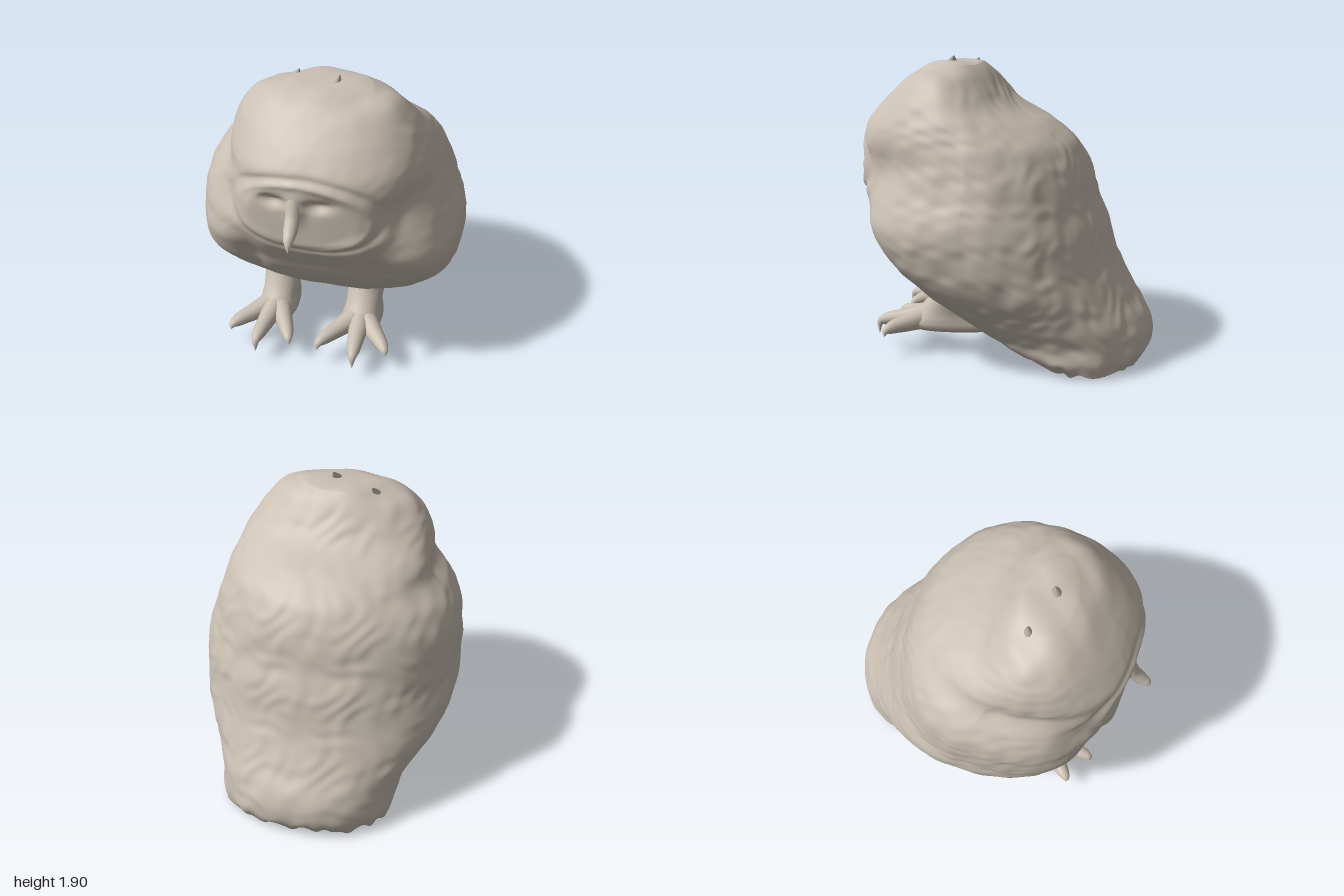
import * as THREE from 'three';

const plumage = new THREE.MeshStandardMaterial({ color: 0xc9bfb2 });
plumage.name = 'pale plumage';

// Body sections from tail to crown: y, back z, front z, right x, left x, widest z, front squareness
const SECTIONS = [
  [0.03, -0.94, -0.45, -0.53, 0.55, -0.62, 2.6],
  [0.1, -0.985, -0.17, -0.56, 0.58, -0.55, 2.6],
  [0.2, -0.99, 0.07, -0.58, 0.59, -0.46, 2.6],
  [0.3, -0.95, 0.23, -0.63, 0.64, -0.36, 2.6],
  [0.4, -0.88, 0.37, -0.71, 0.69, -0.26, 2.7],
  [0.5, -0.82, 0.48, -0.78, 0.75, -0.16, 2.8],
  [0.6, -0.765, 0.57, -0.82, 0.79, -0.08, 3],
  [0.7, -0.725, 0.64, -0.83, 0.81, -0.02, 3.2],
  [0.8, -0.7, 0.69, -0.82, 0.82, 0.03, 3.2],
  [0.9, -0.665, 0.755, -0.82, 0.82, 0.05, 2.9],
  [1.0, -0.62, 0.82, -0.82, 0.8, 0.05, 2.5],
  [1.1, -0.59, 0.87, -0.81, 0.76, 0.04, 2.4],
  [1.2, -0.56, 0.875, -0.78, 0.73, 0.04, 2.4],
  [1.3, -0.515, 0.875, -0.72, 0.7, 0.06, 2.4],
  [1.4, -0.44, 0.87, -0.62, 0.67, 0.1, 2.5],
  [1.5, -0.3, 0.85, -0.595, 0.63, 0.17, 2.4],
  [1.6, -0.1, 0.78, -0.565, 0.58, 0.24, 2.2],
  [1.7, 0.0, 0.68, -0.51, 0.51, 0.28, 2.2],
  [1.8, 0.08, 0.56, -0.4, 0.42, 0.31, 2.2],
  [1.86, 0.14, 0.45, -0.22, 0.27, 0.31, 2],
];

const catmull = (a, b, c, d, t) =>
  0.5 * (2 * b + (c - a) * t + (2 * a - 5 * b + 4 * c - d) * t * t + (3 * b - a - 3 * c + d) * t * t * t);

function sectionAt(u) {
  const last = SECTIONS.length - 1;
  const i = Math.min(Math.floor(u * last), last - 1);
  const at = (k) => SECTIONS[Math.max(0, Math.min(last, k))];
  return SECTIONS[0].map((_, c) => catmull(at(i - 1)[c], at(i)[c], at(i + 1)[c], at(i + 2)[c], u * last - i));
}

const { smoothstep, lerp } = THREE.MathUtils;
const bell = (d, w) => Math.exp(-(d * d) / (w * w));
const spot = (x, y, cx, cy, wx, wy) => bell(x - cx, wx) * bell(y - cy, wy);

// Joins closed rings, listed from bottom to top, into a smooth skin
function skin(rings) {
  const n = rings[0].length, pos = [], index = [];
  rings.forEach((ring) => ring.forEach((p) => pos.push(p.x, p.y, p.z)));
  for (let i = 0; i < rings.length - 1; i++)
    for (let j = 0; j < n; j++) {
      const a = i * n + j, b = i * n + ((j + 1) % n);
      index.push(a, b, b + n, a, b + n, a + n);
    }
  const g = new THREE.BufferGeometry();
  g.setAttribute('position', new THREE.Float32BufferAttribute(pos, 3));
  g.setIndex(index);
  g.computeVertexNormals();
  return g;
}

// Irregular feather texture, roughly between -1 and 1
const ruffle = (x, y, z) =>
  0.5 * Math.sin(9 * x + 5 * y + 3 * Math.sin(8 * z + 4 * y)) * Math.sin(10 * z - 7 * y + 2 * Math.sin(11 * x)) +
  0.5 * Math.sin(21 * y + 3 * Math.sin(13 * x + 5 * z)) * Math.sin(24 * x + 3 * Math.sin(15 * y)) * Math.cos(22 * z - 9 * y);

// Folded wings, neck hollows and ruffled feathers, as an outward offset
function relief(x, y, z, front) {
  const d = lerp(0.01, 0.003, smoothstep(z, 0.35, 0.6)) * ruffle(x, y, z);
  if (!front) return d;
  const ax = Math.abs(x);
  return d + 0.03 * spot(ax, y, 0.62, 0.88, 0.13, 0.2)
    - 0.03 * spot(ax, y, 0.4, 0.74, 0.08, 0.2)
    - 0.05 * spot(ax, y, 0.57, 1.22, 0.1, 0.16);
}

// Flat facial disc with sunken eyes and a brow ridge narrowing to the beak
function face(x, y, z) {
  const r = Math.hypot((x + 0.02) / 0.39, (y - 1.24) / 0.215);
  let plane = 0.855 - 0.25 * (x + 0.02) ** 2;
  for (const ex of [-0.19, 0.08]) plane -= 0.04 * spot(x, y, ex, 1.33 + 0.15 * Math.abs(x - ex), 0.08, 0.035);
  plane += 0.04 * bell(x + 0.06, 0.04 + 0.3 * Math.max(0, y - 1.26)) * bell(y - 1.3, 0.1);
  const rim = 0.008 * bell(r - 1.04, 0.07) - 0.015 * bell(r - 1.2, 0.1);
  return lerp(z, plane, 1 - smoothstep(r, 0.78, 1.02)) + rim;
}

function bodyGeometry() {
  const rows = 150, sides = 220, rings = [];
  const ring = (u, shrink, lift) => {
    const [y, zb, zf, xr, xl, zc, nf] = sectionAt(u);
    return Array.from({ length: sides }, (_, j) => {
      const t = (j / sides) * Math.PI * 2, s = Math.sin(t), c = Math.cos(t);
      const e = 2 / (c > 0 ? nf : 2.1);
      let x = Math.abs(s) ** e * (s > 0 ? xl : xr);
      let z = Math.abs(c) ** e * (c > 0 ? zf - zc : zb - zc);
      const k = shrink * (1 + relief(x, y, z + zc, c > 0) / Math.hypot(x, z));
      x *= k;
      z = zc + z * k;
      if (c > 0) z = face(x, y, z);
      // Ragged hem under the tail and tousled crown
      const hem = 0.025 * Math.max(0, 1 - u * 14) * Math.sin(17 * x + 3 * Math.sin(11 * z)) * Math.sin(23 * z + 2 * Math.sin(19 * x));
      const crown = 0.01 * smoothstep(y, 1.7, 1.85) * Math.sin(13 * x + 2) * Math.sin(15 * z + 6 * x);
      return new THREE.Vector3(x, y + lift + hem + crown, z);
    });
  };
  for (const s of [0.001, 0.2, 0.4, 0.6, 0.75, 0.9]) rings.push(ring(0, s, 0.015 * (1 - s)));
  for (let i = 0; i <= rows; i++) rings.push(ring(i / rows, 1, 0));
  for (const s of [0.85, 0.65, 0.4, 0.2, 0.001]) rings.push(ring(1, s, 0.022 * (1 - s * s)));
  return skin(rings);
}

// Tapered tube through points [x, y, z, radius]
function limb(points, sides = 14, steps = 28) {
  const curve = new THREE.CatmullRomCurve3(points.map((p) => new THREE.Vector3(p[0], p[1], p[2])));
  const g = new THREE.TubeGeometry(curve, steps, 1, sides);
  const pos = g.attributes.position, v = new THREE.Vector3();
  for (let i = 0; i <= steps; i++) {
    const t = curve.getUtoTmapping(i / steps) * (points.length - 1);
    const k = Math.min(Math.floor(t), points.length - 2);
    const r = lerp(points[k][3], points[k + 1][3], t - k);
    const c = curve.getPointAt(i / steps);
    for (let j = 0; j <= sides; j++) {
      const n = i * (sides + 1) + j;
      v.fromBufferAttribute(pos, n).sub(c).multiplyScalar(r).add(c);
      pos.setXYZ(n, v.x, v.y, v.z);
    }
  }
  return g;
}

// Shank sections, a wedge with a long heel: y, centre z, half width, half depth, narrowing to the heel
const SHANK = [
  [0.15, 0.3, 0.002, 0.002, 0], [0.152, 0.3, 0.08, 0.24, 0.4], [0.175, 0.3, 0.115, 0.27, 0.4], [0.21, 0.31, 0.125, 0.26, 0.4],
  [0.25, 0.31, 0.115, 0.22, 0.3], [0.31, 0.29, 0.11, 0.18, 0.2], [0.38, 0.25, 0.12, 0.16, 0.1], [0.45, 0.2, 0.135, 0.18, 0], [0.52, 0.15, 0.17, 0.2, 0],
];

function createFoot(x, tips) {
  const foot = new THREE.Group();
  const rings = SHANK.map(([y, z, w, d, heel]) => Array.from({ length: 28 }, (_, j) => {
    const t = (j / 28) * Math.PI * 2;
    return new THREE.Vector3(x + Math.sin(t) * w * (1 + heel * Math.cos(t)), y, z + Math.cos(t) * d);
  }));
  add(foot, skin(rings), 'shank');
  // Three front toes with hooked claws
  for (const [tx, ty, tz] of tips) {
    const along = (k, y, r) => [x + (tx - x) * k, y, 0.4 + (tz - 0.4) * k, r];
    add(foot, limb([
      along(0.05, 0.235, 0.08), along(0.5, 0.205, 0.058), along(0.85, 0.185, 0.042), along(0.97, 0.165, 0.026), [tx, ty, tz, 0.002],
    ]), 'toe');
  }
  return foot;
}

function add(parent, geometry, name) {
  const mesh = new THREE.Mesh(geometry, plumage);
  mesh.name = name;
  parent.add(mesh);
}

export function createModel() {
  const owl = new THREE.Group();
  owl.name = 'owl';
  add(owl, bodyGeometry(), 'body');

  add(owl, limb([
    [-0.06, 1.36, 0.83, 0.05], [-0.06, 1.26, 0.875, 0.045], [-0.06, 1.195, 0.93, 0.042],
    [-0.06, 1.155, 0.97, 0.03], [-0.06, 1.09, 0.988, 0.002],
  ]), 'beak');

  const rightFoot = createFoot(-0.32, [[-0.57, 0.13, 0.66], [-0.37, 0.085, 0.77], [-0.165, 0.12, 0.7]]);
  rightFoot.name = 'rightFoot';
  const leftFoot = createFoot(0.245, [[0.02, 0.12, 0.7], [0.27, 0.085, 0.77], [0.46, 0.13, 0.66]]);
  leftFoot.name = 'leftFoot';
  owl.add(rightFoot, leftFoot);

  // Small feather tufts on the crown, at x, y, z
  for (const [x, y, z] of [[0.07, 1.91, 0.3], [-0.2, 1.875, 0.22]]) {
    add(owl, limb([[x - 0.03, y - 0.09, z + 0.03, 0.06], [x - 0.01, y - 0.03, z + 0.01, 0.025], [x, y, z, 0.002]], 10, 10), 'crownTuft');
  }
  return owl;
}
